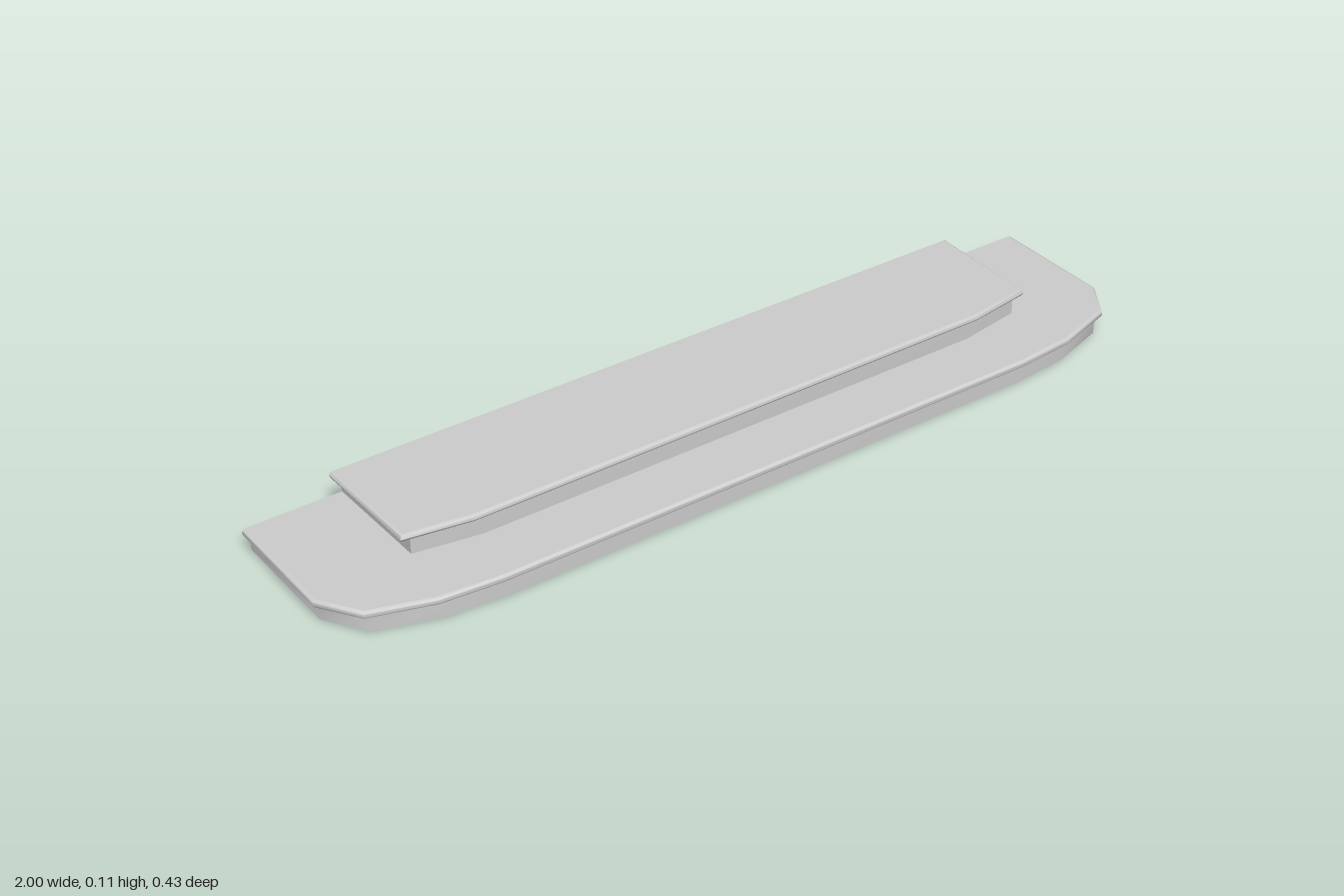
import * as THREE from 'three';
import { mergeGeometries, toCreasedNormals } from 'three/addons/utils/BufferGeometryUtils.js';

const BACK = -0.217;
const material = new THREE.MeshStandardMaterial({ color: 0xcccccc });

// Full outline from the right half: back corner, round the front, to the other back corner
function mirrorOutline(half) {
  return [...half, ...half.map(([x, z]) => [-x, z]).reverse()];
}

// Moves the outline inwards by d, keeping the back edge flush
function insetOutline(points, d) {
  const normal = (a, b) => new THREE.Vector2(b[1] - a[1], a[0] - b[0]).normalize();
  const last = points.length - 1;
  return points.map((p, i) => {
    if (i === 0 || i === last) return [p[0] - Math.sign(p[0]) * d, BACK];
    const n0 = normal(points[i - 1], p);
    const n1 = normal(p, points[i + 1]);
    const k = d / (1 + n0.dot(n1));
    return [p[0] - (n0.x + n1.x) * k, p[1] - (n0.y + n1.y) * k];
  });
}

function toGeometry(triangles) {
  const g = new THREE.BufferGeometry();
  g.setAttribute('position', new THREE.Float32BufferAttribute(triangles.flat(), 3));
  return g;
}

// Solid from stacked outlines; profile is a list of [inset, height], bottom to top
function makeSlab(name, outline, profile) {
  const rings = profile.map(([d, y]) => insetOutline(outline, d).map(([x, z]) => [x, y, z]));
  const count = outline.length;
  const walls = [];
  const caps = [];
  for (let r = 0; r < rings.length - 1; r++) {
    const lo = rings[r], hi = rings[r + 1];
    for (let i = 0; i < count; i++) {
      const j = (i + 1) % count;
      walls.push(lo[i], hi[i], lo[j], lo[j], hi[i], hi[j]);
    }
  }
  const bottom = rings[0], top = rings[rings.length - 1];
  for (let i = 1; i < count - 1; i++) {
    caps.push(bottom[0], bottom[i], bottom[i + 1], top[0], top[i + 1], top[i]);
  }
  const wallGeometry = toCreasedNormals(toGeometry(walls), 0.8);
  const capGeometry = toGeometry(caps);
  capGeometry.computeVertexNormals();
  const mesh = new THREE.Mesh(mergeGeometries([wallGeometry, capGeometry]), material);
  mesh.name = name;
  return mesh;
}

// One step: upright riser with a rounded, overhanging tread on top
function makeStep(name, half, { base, under, top, overhangX, overhangZ }) {
  const outline = mirrorOutline(half);
  const width = half[0][0];
  const riserOutline = outline.map(([x, z]) =>
    [x * (1 - overhangX / width), z === BACK ? z : z - overhangZ]);

  const radius = (top - under) / 2;
  const nosing = [];
  for (let i = 0; i <= 8; i++) {
    const a = (i / 8) * Math.PI;
    nosing.push([radius * (1 - Math.sin(a)), under + radius * (1 - Math.cos(a))]);
  }

  const step = new THREE.Group();
  step.name = name;
  step.add(
    makeSlab('riser', riserOutline, [[0, base], [0, under]]),
    makeSlab('tread', outline, nosing),
  );
  return step;
}

export function createModel() {
  const model = new THREE.Group();
  model.name = 'steps';
  model.add(
    // Wide bottom step with rounded front corners
    makeStep('lowerStep',
      [[1, BACK], [1, 0.07], [0.94, 0.16], [0.8, 0.204], [0.66, 0.217]],
      { base: 0, under: 0.038, top: 0.055, overhangX: 0.016, overhangZ: 0.008 }),
    // Narrow top step with a slightly bowed front
    makeStep('upperStep',
      [[0.8, BACK], [0.795, 0.056], [0.64, 0.081]],
      { base: 0.055, under: 0.095, top: 0.111, overhangX: 0.025, overhangZ: 0.008 }),
  );
  return model;
}
